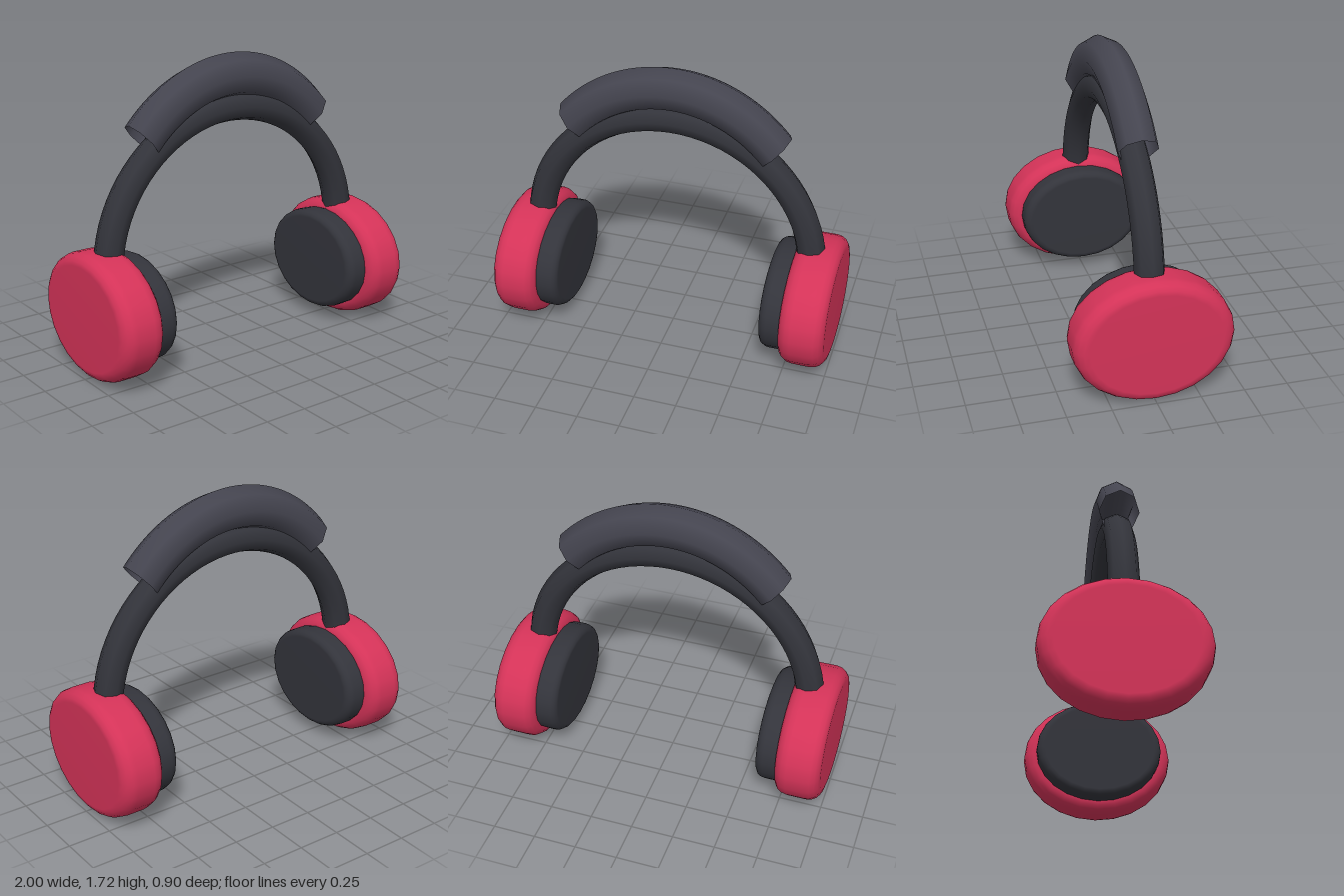
import * as THREE from 'three';

const material = (color, side = THREE.FrontSide) =>
  new THREE.MeshStandardMaterial({ color, side });

const red = material(0xd43358);
const dark = material(0x33343b);
const padding = material(0x454550, THREE.DoubleSide);

// Rounded oval disc along the x axis, deeper (z) than it is tall (y)
function ovalDisc(name, radius, thickness, bevel, mat) {
  const profile = [new THREE.Vector2(0, -thickness / 2)];
  const steps = 4;
  for (const end of [-1, 1]) {
    for (let i = 0; i <= steps; i++) {
      const a = (end < 0 ? i - steps : i) / steps * Math.PI / 2;
      profile.push(new THREE.Vector2(
        radius - bevel + Math.cos(a) * bevel,
        end * (thickness / 2 - bevel) + Math.sin(a) * bevel));
    }
  }
  profile.push(new THREE.Vector2(0, thickness / 2));
  const geometry = new THREE.LatheGeometry(profile, 24);
  geometry.rotateZ(-Math.PI / 2);
  geometry.scale(1, 0.8, 1);
  const mesh = new THREE.Mesh(geometry, mat);
  mesh.name = name;
  return mesh;
}

// Arch centred on the y axis, with an eight-sided tube section
function arch(name, tube, angle, stretch, y, mat) {
  const geometry = new THREE.TorusGeometry(0.83, tube, 8, 40, angle);
  geometry.rotateZ((Math.PI - angle) / 2);
  geometry.scale(1, stretch, 1);
  const mesh = new THREE.Mesh(geometry, mat);
  mesh.name = name;
  mesh.position.y = y;
  return mesh;
}

export function createModel() {
  const model = new THREE.Group();
  model.name = 'headphones';

  // Headband and its open-ended top cushion
  model.add(arch('headband', 0.085, Math.PI, 1, 0.585, dark));
  model.add(arch('headbandCushion', 0.1125, 1.6, 1.14, 0.65, padding));

  // Ear cups with inner pads
  for (const [side, s] of [['left', 1], ['right', -1]]) {
    const cup = ovalDisc(side + 'EarCup', 0.45, 0.265, 0.08, red);
    cup.position.set(s * 0.8675, 0.36, 0);
    const pad = ovalDisc(side + 'EarPad', 0.38, 0.16, 0.05, dark);
    pad.position.set(s * 0.692, 0.365, 0);
    model.add(cup, pad);
  }
  return model;
}
